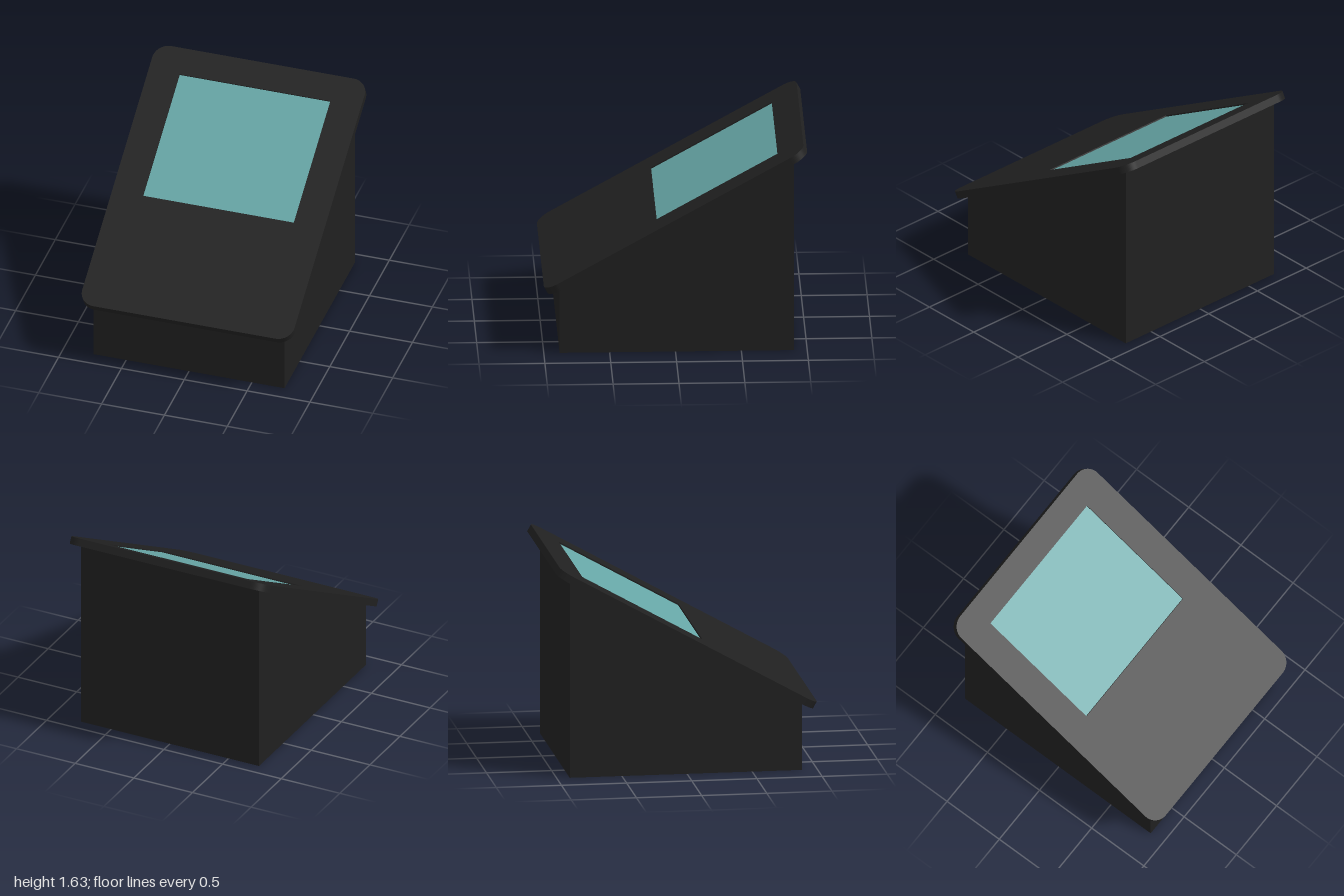
import * as THREE from 'three';

const SLOPE = Math.atan2(1.105, 1.97);
const PANEL = { width: 1.69, length: 2.26, thickness: 0.058, radius: 0.12 };
const SCREEN = { halfWidth: 0.6, low: -0.146, high: 0.909, recess: 0.01 };

function roundedRect(w, h, r) {
  const x = w / 2, y = h / 2, s = new THREE.Shape();
  s.absarc(x - r, y - r, r, 0, Math.PI / 2);
  s.absarc(-x + r, y - r, r, Math.PI / 2, Math.PI);
  s.absarc(-x + r, -y + r, r, Math.PI, Math.PI * 1.5);
  s.absarc(x - r, -y + r, r, Math.PI * 1.5, Math.PI * 2);
  s.closePath();
  return s;
}

function addMesh(parent, name, geometry, material) {
  const mesh = new THREE.Mesh(geometry, material);
  mesh.name = name;
  parent.add(mesh);
  return mesh;
}

export function createModel() {
  const model = new THREE.Group();
  model.name = 'kiosk';
  const dark = new THREE.MeshStandardMaterial({ color: 0x202020 });
  const glass = new THREE.MeshStandardMaterial({ color: 0x66a5a5 });

  // wedge-shaped base: side profile (z, y) extruded across the width
  const side = new THREE.Shape([[-0.88, 0], [0.9, 0], [0.9, 1.524], [-0.88, 0.526]]
    .map(([x, y]) => new THREE.Vector2(x, y)));
  const baseGeo = new THREE.ExtrudeGeometry(side, { depth: 1.52, bevelEnabled: false });
  baseGeo.translate(0, 0, -0.76).rotateY(Math.PI / 2);
  addMesh(model, 'base', baseGeo, dark);

  // sloping top: local y runs up the slope, local z is its normal
  const top = new THREE.Group();
  top.name = 'slopedTop';
  top.position.set(0, 1.0275, -0.015);
  top.rotation.x = SLOPE - Math.PI / 2;
  model.add(top);

  // rounded panel with a window for the screen
  const { halfWidth: hw, low, high, recess } = SCREEN;
  const outline = roundedRect(PANEL.width, PANEL.length, PANEL.radius);
  outline.holes.push(new THREE.Path([[-hw, low], [-hw, high], [hw, high], [hw, low]]
    .map(([x, y]) => new THREE.Vector2(x, y))));
  addMesh(top, 'panel', new THREE.ExtrudeGeometry(outline, {
    depth: PANEL.thickness, bevelEnabled: false, curveSegments: 10,
  }), dark);

  // slightly recessed screen
  const depth = PANEL.thickness - recess;
  const screen = addMesh(top, 'screen', new THREE.BoxGeometry(hw * 2, high - low, depth), glass);
  screen.position.set(0, (low + high) / 2, depth / 2);

  return model;
}
